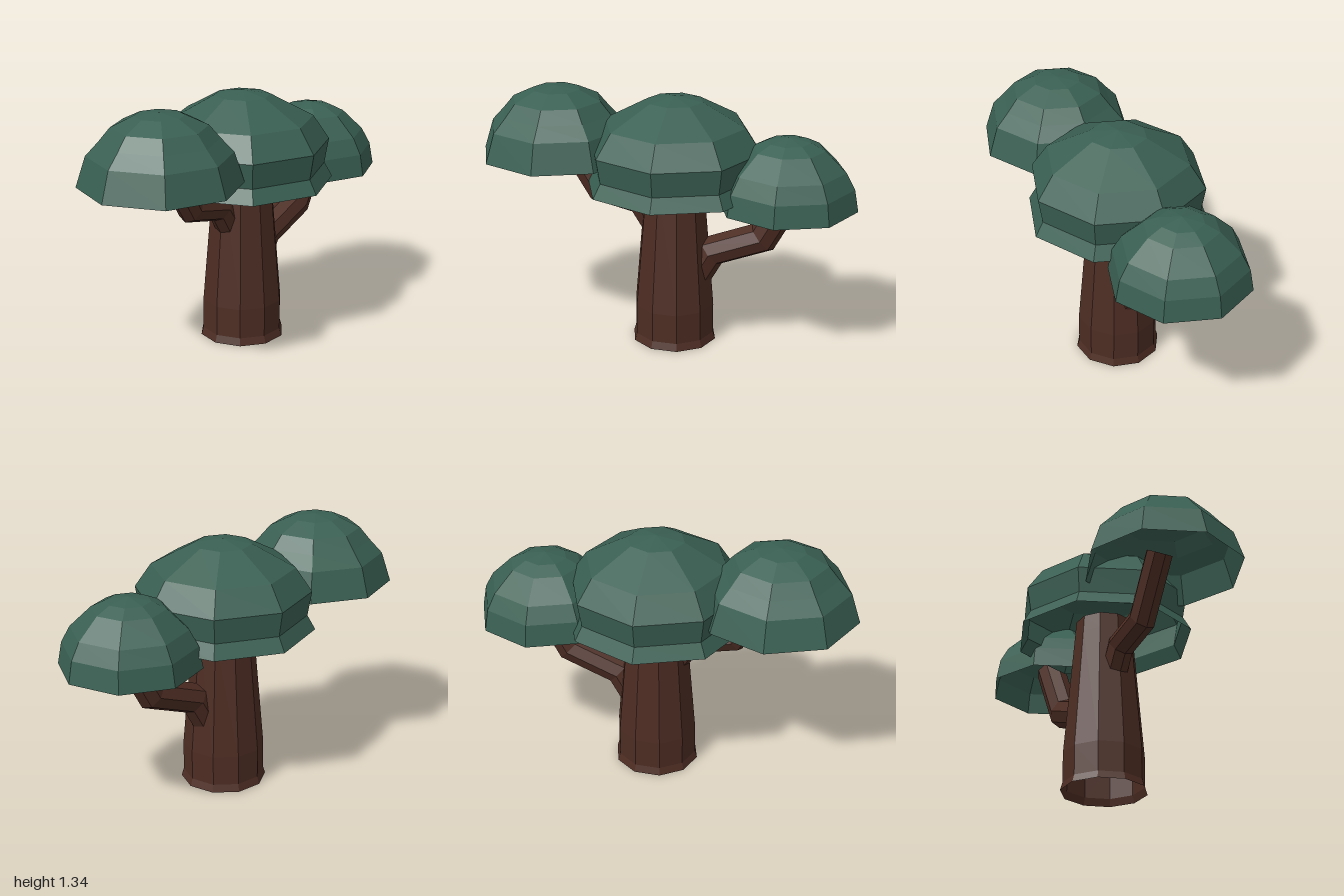
import * as THREE from 'three';

const flat = (name, color) => {
  const m = new THREE.MeshStandardMaterial({ color, flatShading: true, side: THREE.DoubleSide });
  m.name = name;
  return m;
};

// Faceted body of revolution from [radius, height] pairs, listed bottom to top
function turned(name, profile, sides, x, material) {
  const geo = new THREE.LatheGeometry(profile.map(p => new THREE.Vector2(...p)), sides, Math.PI / 2);
  const mesh = new THREE.Mesh(geo, material);
  mesh.name = name;
  mesh.position.x = x;
  return mesh;
}

// Eight-sided branch swept along a bent path in the xy plane, with mitred joints
function branch(name, path, radius, material) {
  const sides = 8, pos = [], index = [];
  const pts = path.map(p => new THREE.Vector2(...p));
  pts.forEach((p, i) => {
    const into = p.clone().sub(pts[Math.max(i - 1, 0)]).normalize();
    const out = pts[Math.min(i + 1, pts.length - 1)].clone().sub(p).normalize();
    const dir = into.clone().add(out).normalize();
    const stretch = 1 / dir.dot(i ? into : out);
    for (let s = 0; s < sides; s++) {
      const a = (s / sides) * Math.PI * 2;
      const n = Math.cos(a) * radius * stretch;
      pos.push(p.x - dir.y * n, p.y + dir.x * n, Math.sin(a) * radius);
    }
    if (i === 0) return;
    for (let s = 0; s < sides; s++) {
      const t = (s + 1) % sides, a = (i - 1) * sides, b = i * sides;
      index.push(a + s, b + s, b + t, a + s, b + t, a + t);
    }
  });
  const geo = new THREE.BufferGeometry();
  geo.setAttribute('position', new THREE.Float32BufferAttribute(pos, 3));
  geo.setIndex(index);
  geo.computeVertexNormals();
  const mesh = new THREE.Mesh(geo, material);
  mesh.name = name;
  return mesh;
}

export function createModel() {
  const bark = flat('bark brown', 0x4d2d23);
  const leaf = flat('leaf green', 0x3a6053);
  const tree = new THREE.Group();
  tree.name = 'tree';

  // Trunk, open at the foot, with a small flare
  tree.add(turned('trunk', [[0.225, 0], [0.213, 0.04], [0.213, 0.2], [0.157, 0.86], [0.15, 0.95], [0, 0.95]], 10, 0.045, bark));

  // Branches rise steeply out of the trunk, level out, then climb into the side canopies
  tree.add(branch('leftBranch', [[0.165, 0.365], [0.245, 0.505], [0.515, 0.61], [0.69, 0.93]], 0.081, bark));
  tree.add(branch('rightBranch', [[-0.06, 0.62], [-0.14, 0.745], [-0.365, 0.795], [-0.55, 1.09]], 0.071, bark));

  // Hollow leaf canopies
  tree.add(turned('middleCanopy',
    [[0.475, 0.855], [0.433, 0.93], [0.455, 1.06], [0.37, 1.185], [0.147, 1.305], [0, 1.33]], 8, 0.045, leaf));
  tree.add(turned('rightCanopy',
    [[0.41, 0.975], [0.36, 1.13], [0.295, 1.2], [0.238, 1.268], [0.125, 1.322], [0, 1.337]], 8, -0.59, leaf));
  tree.add(turned('leftCanopy',
    [[0.362, 0.795], [0.341, 0.91], [0.295, 0.995], [0.187, 1.1], [0.112, 1.137], [0, 1.158]], 8, 0.637, leaf));
  return tree;
}
